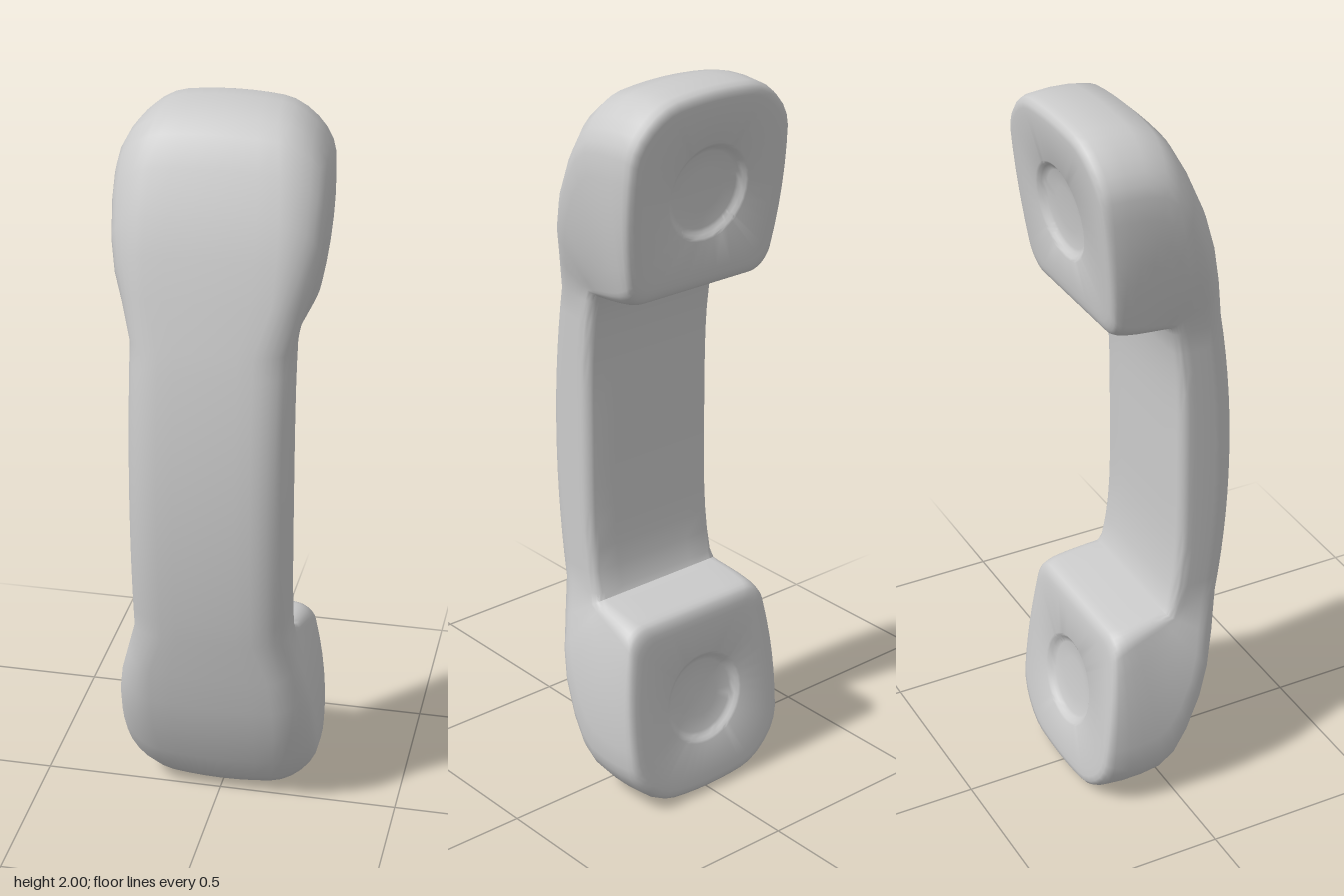
import * as THREE from 'three';
import { toCreasedNormals } from 'three/addons/utils/BufferGeometryUtils.js';

const CORNER = 6, EDGE = 6;

// Rounded outline in (x, q): q runs from the inner edge (0) to the outer edge (len).
// wi / wo: half widths, ri / ro: corner radii, belly: side bulge, crown: outer edge bulge.
function outline(len, { wi, wo, ri, ro, rx = ro, belly, crown }) {
  const corners = [
    [wo - rx, len - ro, rx, ro, 90],
    [wi - ri, ri, ri, ri, 0],
    [-wi + ri, ri, ri, ri, -90],
    [-wo + rx, len - ro, rx, ro, -180],
  ];
  const pts = [];
  for (const [cx, cq, ax, aq, start] of corners) {
    for (let i = 0; i <= CORNER; i++) {
      const a = THREE.MathUtils.degToRad(start - (90 * i) / CORNER);
      pts.push([cx + ax * Math.cos(a), cq + aq * Math.sin(a)]);
    }
  }
  // subdivide the straight edges between corners
  const full = [];
  pts.forEach((p, i) => {
    full.push(p);
    if (i % (CORNER + 1) !== CORNER) return;
    const n = pts[(i + 1) % pts.length];
    for (let k = 1; k < EDGE; k++) {
      const t = k / EDGE;
      full.push([p[0] + (n[0] - p[0]) * t, p[1] + (n[1] - p[1]) * t]);
    }
  });
  return full.map(([x, q]) => {
    const v = q / len;
    return [x + Math.sign(x) * belly * (1 - (2 * v - 1) ** 2) * Math.min(1, Math.abs(x) / wi),
      q - crown * (x / wo) ** 2 * v];
  });
}

// Places an outline between an inner and an outer point, both given as [y, z].
function place(pts, inner, outer, depth = 0) {
  const dir = new THREE.Vector2(outer[0] - inner[0], outer[1] - inner[1]).normalize();
  return pts.map(([x, q]) => new THREE.Vector3(
    x,
    inner[0] + dir.x * q - dir.y * depth,
    inner[1] + dir.y * q + dir.x * depth,
  ));
}

const dist = (a, b) => Math.hypot(a[0] - b[0], a[1] - b[1]);
const mirror = (rings) => rings.map((r) => r.map((p) => new THREE.Vector3(p.x, 2 - p.y, p.z))).reverse();

// Skins a list of rings; a ring collapsed to one point closes the end.
function loft(name, rings, material) {
  const n = rings[0].length, index = [];
  const collapsed = (r) => r[0].distanceTo(r[n >> 1]) < 1e-6;
  for (let i = 0; i < rings.length - 1; i++) {
    for (let j = 0; j < n; j++) {
      const k = (j + 1) % n;
      const a = i * n + j, b = i * n + k, c = a - j + k + n, d = a + n;
      if (!collapsed(rings[i])) index.push(a, b, c);
      if (!collapsed(rings[i + 1])) index.push(a, c, d);
    }
  }
  const geo = new THREE.BufferGeometry().setFromPoints(rings.flat());
  geo.setIndex(index);
  const mesh = new THREE.Mesh(toCreasedNormals(geo, 0.75), material);
  mesh.name = name;
  return mesh;
}

export function createModel() {
  const group = new THREE.Group();
  group.name = 'handset';
  const material = new THREE.MeshStandardMaterial({ color: 0xcccccc });

  // Upper half of the body: curved grip first
  const half = [];
  const grip = { wi: 0.21, wo: 0.208, ri: 0.03, ro: 0.06, rx: 0.085, belly: 0.003, crown: 0.012 };
  for (let i = 0; i <= 7; i++) {
    const d = i * 0.06;
    const inner = [1 + d, 0.037 - 0.9 * d ** 4], outer = [1 + d, 0.225 - 0.2 * d * d];
    half.push(place(outline(dist(inner, outer), grip), inner, outer));
  }

  // Head: sections fan round the inner corner, from across the grip to the flat face
  // [inner y, z, outer y, z, wi, wo, ri, ro, belly, crown]
  const head = [
    [1.437, 0.0, 1.55, 0.163, 0.214, 0.232, 0.03, 0.07, 0.003, 0.013],
    [1.439, -0.02, 1.66, 0.138, 0.217, 0.25, 0.03, 0.08, 0.008, 0.015],
    [1.441, -0.04, 1.76, 0.107, 0.22, 0.26, 0.032, 0.09, 0.012, 0.018],
    [1.444, -0.065, 1.87, 0.06, 0.223, 0.262, 0.034, 0.1, 0.018, 0.022],
    [1.447, -0.09, 1.945, 0.02, 0.226, 0.26, 0.037, 0.11, 0.022, 0.026],
    [1.45, -0.11, 1.983, -0.02, 0.228, 0.256, 0.04, 0.115, 0.025, 0.03],
    [1.453, -0.13, 1.996, -0.08, 0.23, 0.253, 0.044, 0.118, 0.026, 0.03],
    [1.456, -0.145, 2.0, -0.14, 0.23, 0.25, 0.05, 0.12, 0.026, 0.03],
    [1.461, -0.156, 1.998, -0.195, 0.229, 0.245, 0.053, 0.12, 0.026, 0.03],
    [1.468, -0.162, 1.992, -0.214, 0.226, 0.241, 0.055, 0.12, 0.026, 0.03],
  ];
  for (const [iy, iz, oy, oz, wi, wo, ri, ro, belly, crown] of head) {
    const inner = [iy, iz], outer = [oy, oz];
    half.push(place(outline(dist(inner, outer), { wi, wo, ri, ro, belly, crown }), inner, outer));
  }

  // Flat face with its softened rim
  const inner = [1.478, -0.167], outer = [1.98, -0.223];
  const len = dist(inner, outer);
  const rim = outline(len, { wi: 0.219, wo: 0.234, ri: 0.055, ro: 0.115, belly: 0.025, crown: 0.028 });
  const mid = len * 0.49;
  const scaled = (s) => rim.map(([x, q]) => [x * s, mid + (q - mid) * s]);
  const circle = (r) => rim.map(([x, q]) => {
    const l = Math.hypot(x, q - mid);
    return [(x / l) * r, mid + ((q - mid) / l) * r];
  });
  half.push(place(rim, inner, outer), place(scaled(0.95), inner, outer, -0.002));
  const edge = place(scaled(0.88), inner, outer, -0.002);
  half.push(edge);

  group.add(loft('body', [...mirror(half.slice(1)), ...half], material));

  // Face plate with a shallow round dish: [radius, depth]
  const dish = [[0.132, -0.002], [0.126, 0.001], [0.119, 0.008], [0.112, 0.014],
    [0.104, 0.017], [0.06, 0.02], [0, 0.021]];
  const face = [edge, ...dish.map(([r, d]) => place(circle(r), inner, outer, d))];
  group.add(loft('earpieceFace', face, material));
  group.add(loft('mouthpieceFace', mirror(face), material));
  return group;
}
